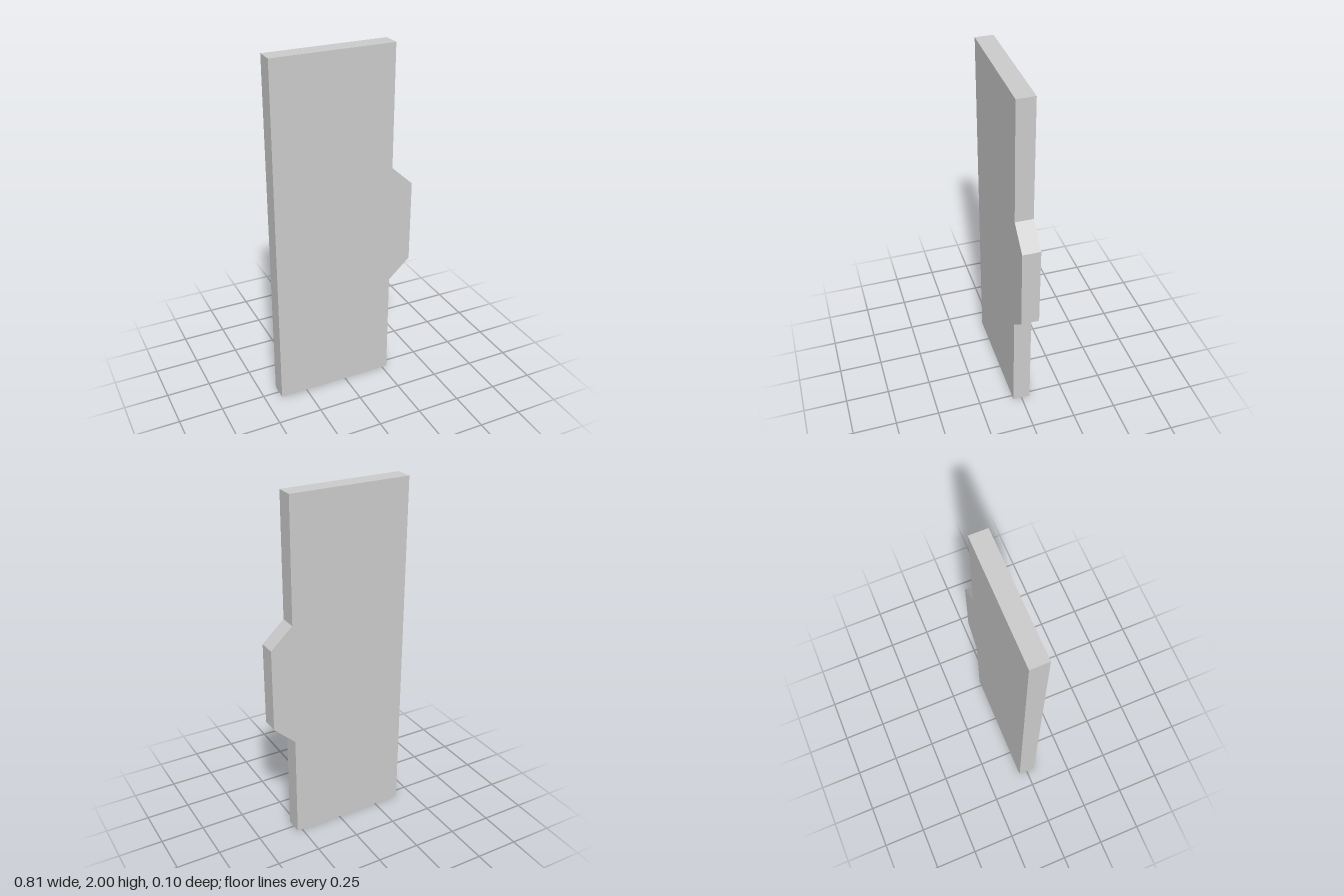
import * as THREE from 'three';

const DEPTH = 0.1;

export function createModel() {
  const group = new THREE.Group();
  group.name = 'tabbedPanel';

  // Flat panel outline with a chamfered tab on the +x edge
  const outline = new THREE.Shape([
    [-0.405, 0], [0.28, 0], [0.28, 0.615], [0.405, 0.73],
    [0.405, 1.2], [0.28, 1.315], [0.28, 2], [-0.405, 2],
  ].map(([x, y]) => new THREE.Vector2(x, y)));

  const geometry = new THREE.ExtrudeGeometry(outline, { depth: DEPTH, bevelEnabled: false });
  geometry.translate(0, 0, -DEPTH / 2);

  const panel = new THREE.Mesh(
    geometry,
    new THREE.MeshStandardMaterial({ color: 0xcccccc, flatShading: true }),
  );
  panel.name = 'panel';
  group.add(panel);
  return group;
}
